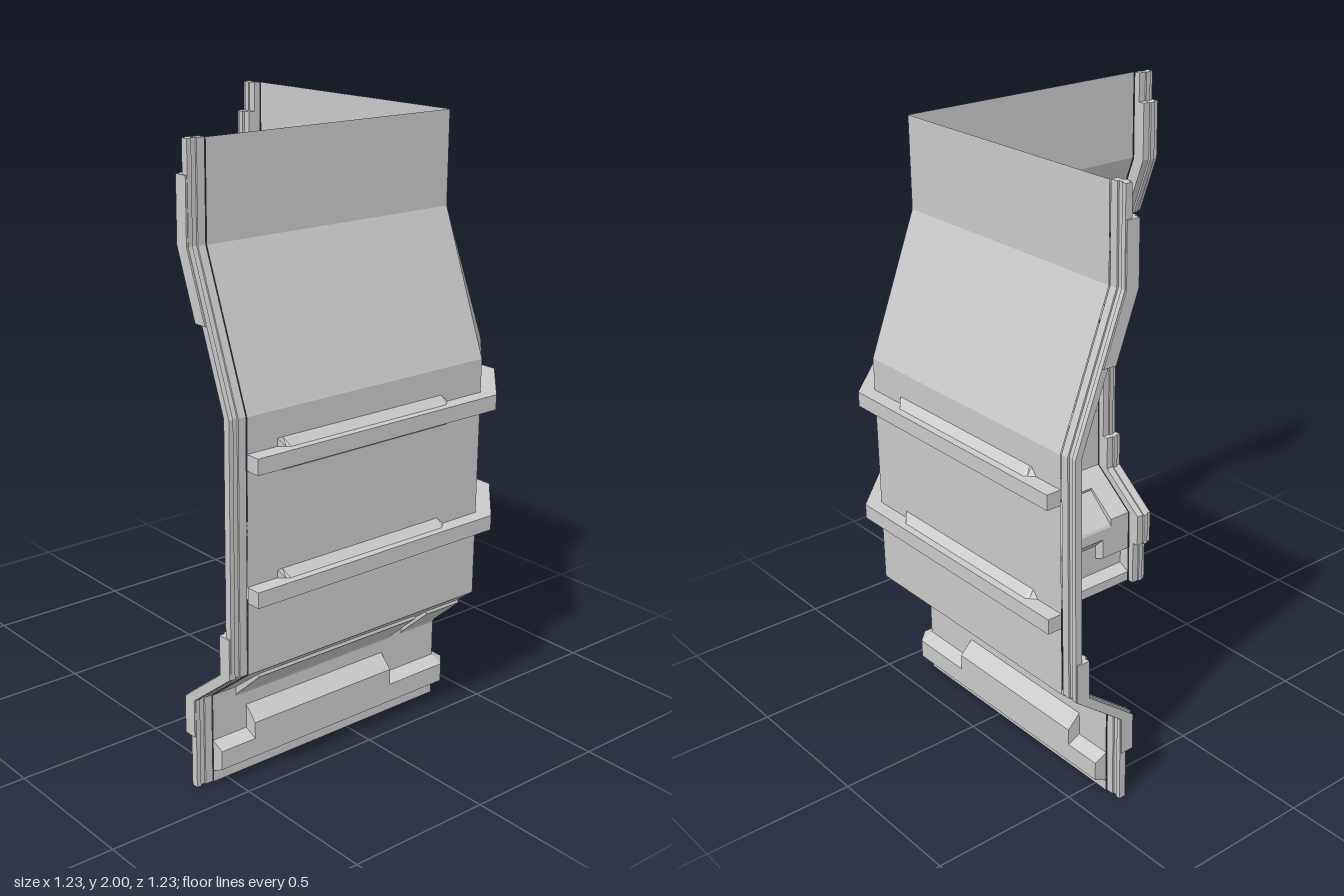
import * as THREE from 'three';

const material = new THREE.MeshStandardMaterial({
  color: 0xcccccc, flatShading: true, side: THREE.DoubleSide,
});

const NEAR = 0.387;  // wall distance at top and foot
const FAR = 0.565;   // wall distance at the bulge
const RIB = 0.615;   // rib front
const END = 0.55;    // where the wall sheet stops

// Stations along one leg, from its free end to the corner:
// [position, ribs on, bump amount, slope panel on, tall skirting on]
const stations = [
  [-END, 0, 0, 0, 0], [-END, 1, 0, 0, 0],
  [-0.46, 1, 0, 0, 0], [-0.46, 1, 0, 1, 0],
  [-0.44, 1, 0, 1, 0], [-0.42, 1, 0.67, 1, 0],
  [-0.42, 1, 0.67, 1, 1], [-0.41, 1, 1, 1, 1],
  [0.15, 1, 1, 1, 1], [0.15, 1, 1, 1, 0],
  [0.19, 1, 1, 1, 0], [0.19, 1, 1, 0, 0],
  [0.21, 1, 1, 0, 0], [0.24, 1, 0, 0, 0],
  [0.24, 1, 0, 1, 0], [NEAR, 1, 0, 1, 0],
];

// Each section returns [distance, height] points, top to bottom
const ribRows = (y, rib, bump) => {
  const b = FAR + 0.025 * bump, r = rib ? RIB : FAR;
  return [[FAR, y + 0.05], [b, y + 0.025], [r, y + 0.025],
    [r, y - 0.025], [b, y - 0.025], [FAR, y - 0.05]];
};
const sections = {
  upperWall: () => [[NEAR, 2], [NEAR, 1.7], [FAR, 1.24]],
  ribbedWall: (rib, bump) => [[FAR, 1.24], ...ribRows(1.105, rib, bump),
    ...ribRows(0.697, rib, bump), [FAR, 0.44]],
  lowerSlope: (rib, bump, panel) => [[FAR, 0.44], [0.501, 0.39],
    [panel ? 0.504 : 0.489, 0.38],
    panel ? [0.392, 0.278] : [NEAR, 0.3], [NEAR, 0.268]],
  baseSkirting: (rib, bump, panel, tall) => [[NEAR, 0.268],
    [NEAR, 0.145 + 0.08 * tall],
    [NEAR + 0.045 * rib, 0.125 + 0.055 * tall],
    [NEAR + 0.045 * rib, 0.062], [NEAR, 0.038], [NEAR, 0]],
};

// Sheet lofted along the back leg, across the corner and along the side leg
function wallSheet(section) {
  const columns = [];
  const addColumn = (station, side) => {
    const [u, ...flags] = station;
    columns.push(section(...flags).map(([p, y]) => {
      // keep the corner chamfer parallel on the ribs
      const v = u === NEAR ? u + 0.41 * Math.max(0, p - FAR) : u;
      return side ? new THREE.Vector3(p, y, -v) : new THREE.Vector3(v, y, -p);
    }));
  };
  stations.forEach((s) => addColumn(s, false));
  [...stations].reverse().forEach((s) => addColumn(s, true));

  const points = [];
  const addTriangle = (a, b, c) => {
    if (new THREE.Triangle(a, b, c).getArea() > 1e-8) points.push(a, b, c);
  };
  for (let i = 0; i + 1 < columns.length; i++) {
    const l = columns[i], r = columns[i + 1];
    for (let j = 0; j + 1 < l.length; j++) {
      addTriangle(l[j], r[j], l[j + 1]);
      addTriangle(r[j], r[j + 1], l[j + 1]);
    }
  }
  const geometry = new THREE.BufferGeometry().setFromPoints(points);
  geometry.computeVertexNormals();
  return geometry;
}

// Strip following a profile, between two inward offsets
function stripShape(profile, outer, inner) {
  const front = profile.map(([p, y]) => new THREE.Vector2(p - outer, y));
  const back = profile.map(([p, y]) => new THREE.Vector2(p - inner, y));
  return new THREE.Shape([...front, ...back.reverse()]);
}

// The same piece on both free ends of the wall
function addAtBothEnds(group, name, shape, from, to) {
  const make = () => new THREE.ExtrudeGeometry(shape, { depth: to - from, bevelEnabled: false });
  const side = new THREE.Mesh(make().translate(0, 0, from), material);
  const back = new THREE.Mesh(make().rotateY(Math.PI / 2).translate(-to, 0, 0), material);
  side.name = name + 'Side';
  back.name = name + 'Back';
  group.add(side, back);
}

export function createModel() {
  const group = new THREE.Group();
  group.name = 'cornerWall';

  for (const [name, section] of Object.entries(sections)) {
    const mesh = new THREE.Mesh(wallSheet(section), material);
    mesh.name = name;
    group.add(mesh);
  }

  // Layered end frames with a tongue in the middle
  const full = [[NEAR, 2], [NEAR, 1.7], [FAR, 1.24], [FAR, 0.44], [NEAR, 0.3], [NEAR, 0]];
  addAtBothEnds(group, 'endFrameInner', stripShape(full, 0.004, 0.028), END, 0.577);
  addAtBothEnds(group, 'endFrameTongue', stripShape(full, 0.01, 0.034), 0.577, 0.595);
  addAtBothEnds(group, 'endFrameOuter', stripShape(full, 0.004, 0.028), 0.595, 0.61);

  // Thicker pads on the frames at the two bends
  const upper = [[NEAR, 1.9], [NEAR, 1.7], [0.468, 1.49]];
  const lower = [[FAR, 0.57], [FAR, 0.44], [NEAR, 0.3], [NEAR, 0.175]];
  for (const [name, profile] of [['upperPad', upper], ['lowerPad', lower]]) {
    addAtBothEnds(group, name, stripShape(profile, 0.006, 0.052), END, 0.577);
    addAtBothEnds(group, name + 'Tongue', stripShape(profile, 0.012, 0.06), 0.577, 0.595);
    addAtBothEnds(group, name + 'Edge', stripShape(profile, 0.006, 0.052), 0.595, 0.615);
  }
  return group;
}
